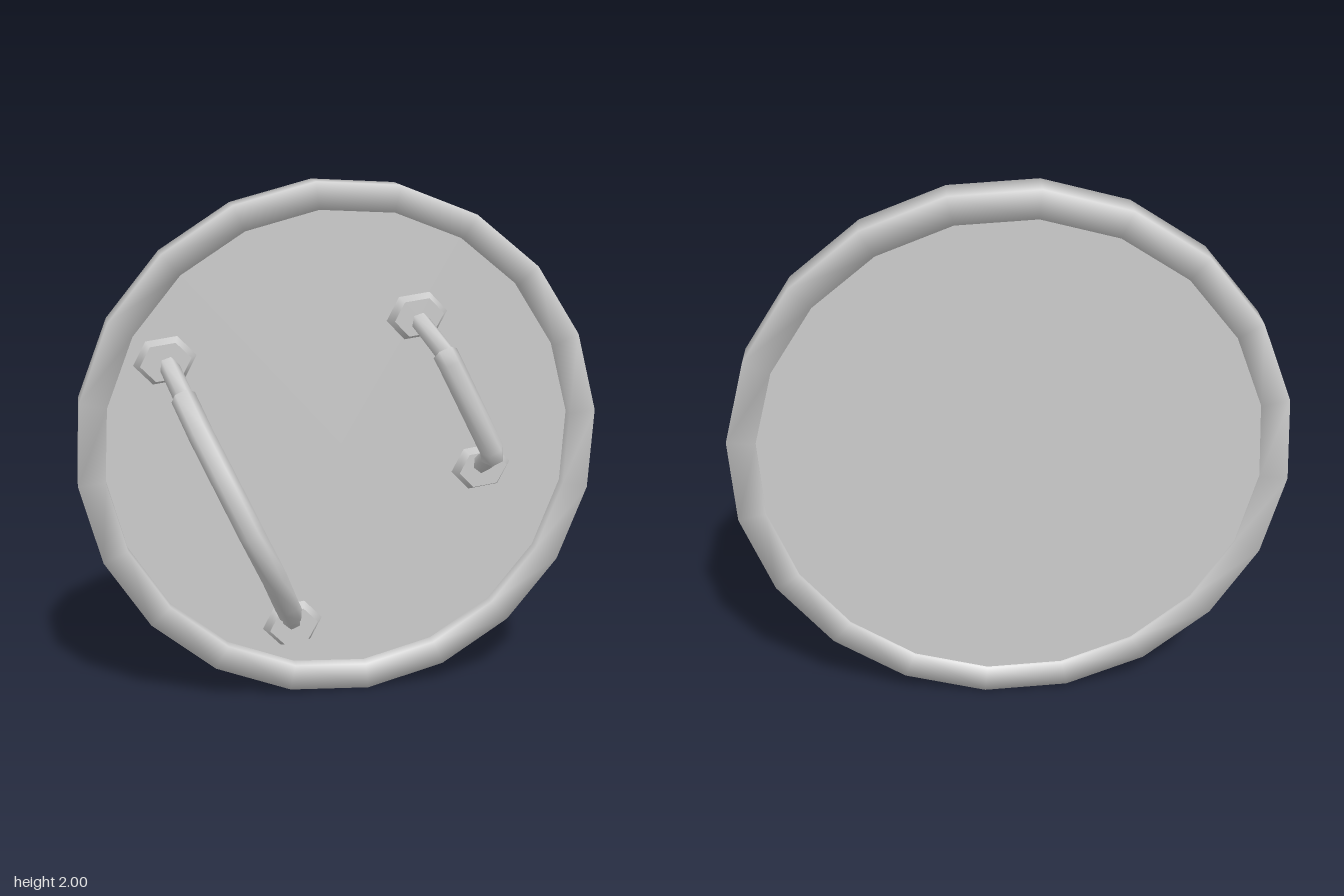
import * as THREE from 'three';
import { mergeVertices } from 'three/addons/utils/BufferGeometryUtils.js';

const V = (x, y, z) => new THREE.Vector3(x, y, z);
const material = new THREE.MeshStandardMaterial({ color: 0xcccccc });

function addMesh(parent, name, geometry) {
  const mesh = new THREE.Mesh(geometry, material);
  mesh.name = name;
  parent.add(mesh);
  return mesh;
}

// Capped bar with mitred bends through a list of points
function bar(points, radius, sides = 6) {
  const pos = [], index = [], n = points.length;
  const chord = points[n - 1].clone().sub(points[0]).normalize();
  const side = V(0, 0, 1).cross(chord).normalize();
  points.forEach((p, i) => {
    const a = points[Math.max(i - 1, 0)], b = points[Math.min(i + 1, n - 1)];
    const d1 = p.clone().sub(a).normalize(), d2 = b.clone().sub(p).normalize();
    const t = d1.clone().add(d2).normalize();
    const u = side.clone().addScaledVector(t, -side.dot(t)).normalize();
    const v = t.clone().cross(u);
    for (let k = 0; k < sides; k++) {
      const ang = (k / sides) * Math.PI * 2;
      const q = p.clone().addScaledVector(u, Math.cos(ang) * radius).addScaledVector(v, Math.sin(ang) * radius);
      pos.push(q.x, q.y, q.z);
      if (i < n - 1) {
        const k2 = (k + 1) % sides, r = i * sides, s = r + sides;
        index.push(r + k, r + k2, s + k, r + k2, s + k2, s + k);
      }
    }
  });
  // End caps on their own vertices
  for (const [ring, flip] of [[0, true], [n - 1, false]]) {
    const base = pos.length / 3;
    for (let k = 0; k < sides * 3; k++) pos.push(pos[ring * sides * 3 + k]);
    for (let k = 1; k < sides - 1; k++) {
      index.push(base, base + (flip ? k + 1 : k), base + (flip ? k : k + 1));
    }
  }
  const g = new THREE.BufferGeometry();
  g.setAttribute('position', new THREE.Float32BufferAttribute(pos, 3));
  g.setIndex(index);
  g.computeVertexNormals();
  return g;
}

export function createModel() {
  const model = new THREE.Group();
  const phase = THREE.MathUtils.degToRad(5.8);

  // Slightly tilted round board
  const board = new THREE.Group();
  board.name = 'board';
  board.position.set(0, 1.003, -0.21);
  board.rotation.set(0.013, -0.04, 0);
  model.add(board);

  // Rim: square section, softly shaded
  const section = [[0.9, -0.06], [1.002, -0.06], [1.002, 0.06], [0.9, 0.06], [0.9, -0.06]];
  let rim = new THREE.LatheGeometry(section.map(p => new THREE.Vector2(...p)), 20, phase);
  rim.deleteAttribute('uv');
  rim.deleteAttribute('normal');
  rim = mergeVertices(rim, 1e-4);
  rim.computeVertexNormals();
  addMesh(board, 'rim', rim.rotateX(Math.PI / 2));

  // Flat plate inside the rim
  const plate = new THREE.CylinderGeometry(0.91, 0.91, 0.06, 20, 1, false, phase);
  addMesh(board, 'plate', plate.rotateX(Math.PI / 2)).position.z = -0.02;

  // Flattened hexagonal feet under the handle ends
  const foot = new THREE.CylinderGeometry(0.095, 0.118, 0.04, 6, 1, false, Math.PI / 2)
    .rotateX(Math.PI / 2).scale(1, 0.8, 1).rotateZ(0.14);
  for (const [x, y] of [[-0.66, 1.355], [-0.195, 0.285], [0.29, 1.49], [0.555, 0.885]]) {
    addMesh(board, 'handleFoot', foot).position.set(x, y - 1.003, 0.03);
  }

  // Long bowed arm loop: thicker sleeve over two thin struts
  const longHandle = new THREE.Group();
  longHandle.name = 'longHandle';
  addMesh(longHandle, 'grip', bar([
    V(-0.62, 1.255, -0.035), V(-0.575, 1.14, 0.085), V(-0.52, 1.015, 0.215),
    V(-0.43, 0.815, 0.26), V(-0.345, 0.635, 0.225), V(-0.275, 0.475, 0.07), V(-0.235, 0.39, -0.04),
  ], 0.046));
  addMesh(longHandle, 'upperStrut', bar([V(-0.655, 1.355, -0.22), V(-0.615, 1.245, -0.02)], 0.037));
  addMesh(longHandle, 'lowerStrut', bar([V(-0.195, 0.29, -0.22), V(-0.24, 0.4, -0.025)], 0.037));
  model.add(longHandle);

  // Short straight hand grip
  const shortHandle = new THREE.Group();
  shortHandle.name = 'shortHandle';
  addMesh(shortHandle, 'grip', bar([
    V(0.32, 1.395, 0.085), V(0.335, 1.355, 0.115), V(0.495, 1.035, 0.115), V(0.51, 0.995, 0.085),
  ], 0.046));
  addMesh(shortHandle, 'upperStrut', bar([V(0.29, 1.485, -0.19), V(0.325, 1.385, 0.1)], 0.037));
  addMesh(shortHandle, 'lowerStrut', bar([V(0.555, 0.89, -0.18), V(0.505, 1.005, 0.1)], 0.037));
  model.add(shortHandle);

  return model;
}
